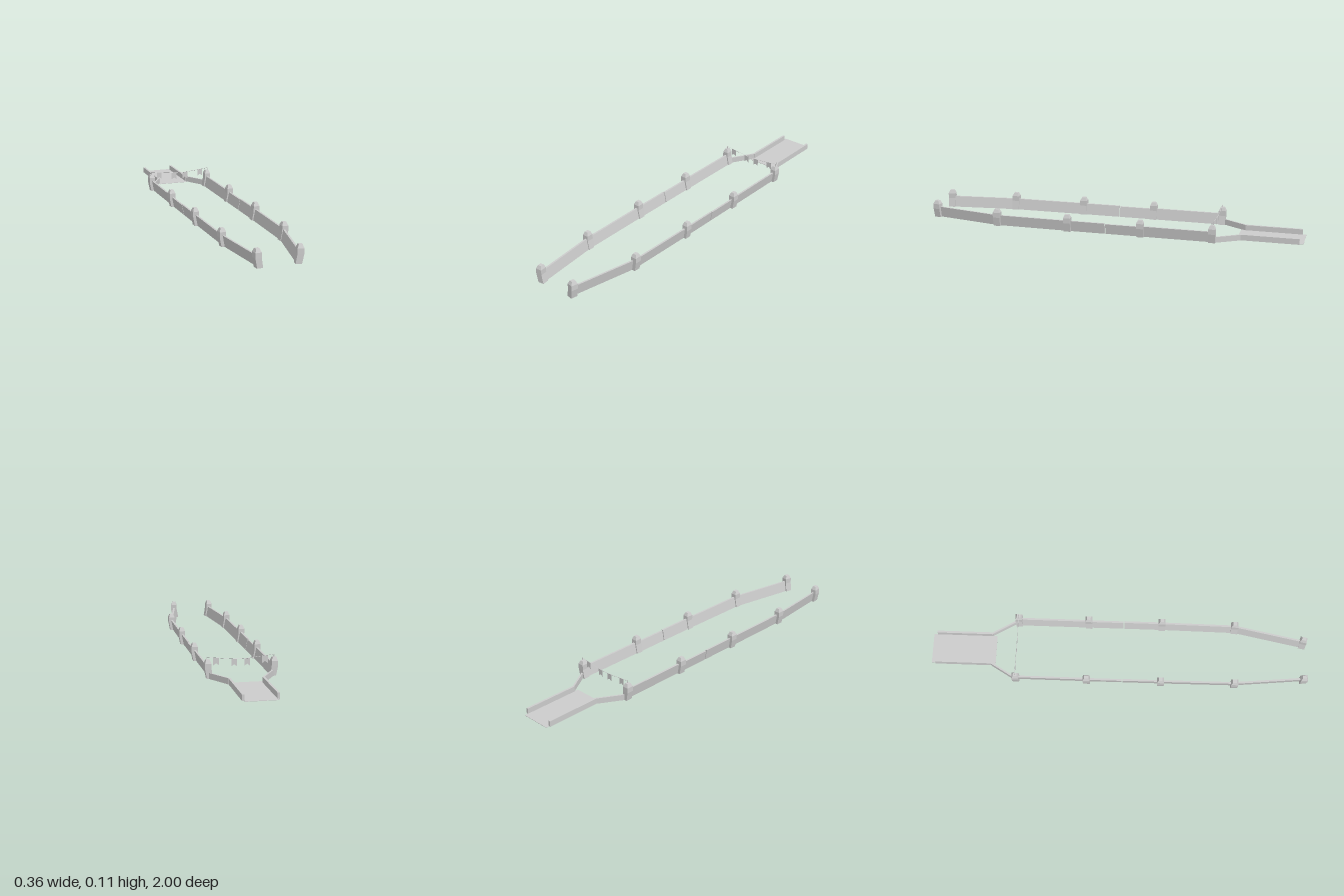
import * as THREE from 'three';

const material = new THREE.MeshStandardMaterial({ color: 0xcccccc, flatShading: true, side: THREE.DoubleSide });

// Solid through a row of equal-sized rings of [x, y, z] corners, capped at both ends
function loft(name, rings) {
  const tris = [], n = rings[0].length;
  const tri = (a, b, c) => tris.push([a, b, c]);
  for (let i = 0; i < rings.length - 1; i++) {
    for (let j = 0; j < n; j++) {
      const k = (j + 1) % n;
      tri(rings[i][j], rings[i][k], rings[i + 1][k]);
      tri(rings[i][j], rings[i + 1][k], rings[i + 1][j]);
    }
  }
  const first = rings[0], last = rings[rings.length - 1];
  for (let j = 1; j < n - 1; j++) {
    tri(first[0], first[j + 1], first[j]);
    tri(last[0], last[j], last[j + 1]);
  }
  // turn the faces outward whichever way the rings wind
  let volume = 0;
  for (const [a, b, c] of tris) {
    volume += new THREE.Vector3(...a).dot(new THREE.Vector3(...b).cross(new THREE.Vector3(...c)));
  }
  if (volume < 0) tris.forEach(t => t.reverse());
  const geo = new THREE.BufferGeometry();
  geo.setAttribute('position', new THREE.Float32BufferAttribute(tris.flat(2), 3));
  geo.computeVertexNormals();
  const mesh = new THREE.Mesh(geo, material);
  mesh.name = name;
  return mesh;
}

// Wall board leaning outward; s is the side (+1 left, -1 right)
function wallPanel(s, [x0, z0], [x1, z1], height) {
  const ring = (x, z) => [[x - 0.011, 0], [x - 0.001, 0], [x + 0.010, height], [x, height]]
    .map(([px, py]) => [s * px, py, z]);
  return loft('wallPanel', [ring(x0, z0), ring(x1, z1)]);
}

// Post: leaning foot, upright head, tapered cap
function post(s, x, z, angle) {
  const levels = [[0, -0.002, 0.0155, 0.0175], [0.048, 0.007, 0.016, 0.0185],
    [0.075, 0.007, 0.016, 0.0185], [0.093, 0.007, 0.009, 0.010]];
  const c = Math.cos(angle), d = Math.sin(angle);
  return loft('post', levels.map(([y, off, hw, hd]) =>
    [[-1, -1], [1, -1], [1, 1], [-1, 1]].map(([u, v]) => {
      const px = off + u * hw, pz = v * hd;
      return [s * (x + px * c - pz * d), y, z + px * d + pz * c];
    })));
}

function box(name, w, h, d, x, y, z) {
  const mesh = new THREE.Mesh(new THREE.BoxGeometry(w, h, d), material);
  mesh.position.set(x, y, z);
  mesh.name = name;
  return mesh;
}

export function createModel() {
  const model = new THREE.Group();
  const zs = [0.98, 0.615, 0.225, -0.167, -0.543];
  const sides = [
    { s: 1, name: 'leftWall', xs: [0.080, 0.153, 0.157, 0.157, 0.157] },
    { s: -1, name: 'rightWall', xs: [0.120, 0.157, 0.160, 0.161, 0.161] },
  ];

  for (const { s, name, xs } of sides) {
    const wall = new THREE.Group();
    wall.name = name;
    const at = i => [xs[i], zs[i]];
    for (let i = 0; i < 5; i++) {
      const angle = i === 0 ? Math.atan2(xs[1] - xs[0], zs[0] - zs[1]) : 0;
      wall.add(post(s, xs[i], zs[i], angle));
      if (i === 4) continue;
      if (i === 2) {
        // middle bay is made of two boards with a narrow seam
        const mid = (xs[2] + xs[3]) / 2;
        wall.add(wallPanel(s, at(2), [mid, 0.024], 0.058));
        wall.add(wallPanel(s, [mid, 0.019], at(3), 0.055));
      } else {
        wall.add(wallPanel(s, at(i), at(i + 1), 0.058));
      }
    }
    // low wall narrowing toward the ramp
    const ring = (x, z) => [[x - 0.005, 0], [x + 0.005, 0], [x + 0.005, 0.03], [x - 0.005, 0.03]]
      .map(([px, py]) => [s * px, py, z]);
    wall.add(loft('funnelWall', [ring(0.162, -0.55), ring(0.085, -0.68)]));
    // ramp rail
    wall.add(box('rampRail', 0.011, 0.03, 0.30, s * 0.083, 0.015, -0.83));
    // pole for the flag line
    wall.add(box('flagPole', 0.003, 0.018, 0.003, s * 0.168, 0.098, -0.543));
    model.add(wall);
  }

  // ramp floor
  model.add(box('rampFloor', 0.162, 0.002, 0.342, -0.002, 0.001, -0.829));

  // sagging flag line
  const sag = x => 0.089 + 0.017 * Math.pow(Math.abs(x) / 0.168, 1.3);
  const points = [];
  for (let i = 0; i <= 8; i++) {
    const x = -0.168 + 0.042 * i;
    points.push(new THREE.Vector3(x, sag(x), -0.543));
  }
  const line = new THREE.Mesh(
    new THREE.TubeGeometry(new THREE.CatmullRomCurve3(points), 16, 0.0012, 4), material);
  line.name = 'flagLine';
  model.add(line);

  // swallow-tailed flags
  for (const x of [-0.122, -0.033, 0.032, 0.122]) {
    const l = x - 0.0145, r = x + 0.0145, low = sag(x) - 0.038;
    const shape = new THREE.Shape([[l, sag(l)], [l, low], [x, low + 0.01], [r, low], [r, sag(r)]]
      .map(p => new THREE.Vector2(...p)));
    const flag = new THREE.Mesh(new THREE.ShapeGeometry(shape), material);
    flag.position.z = -0.543;
    flag.name = 'flag';
    model.add(flag);
  }
  return model;
}
